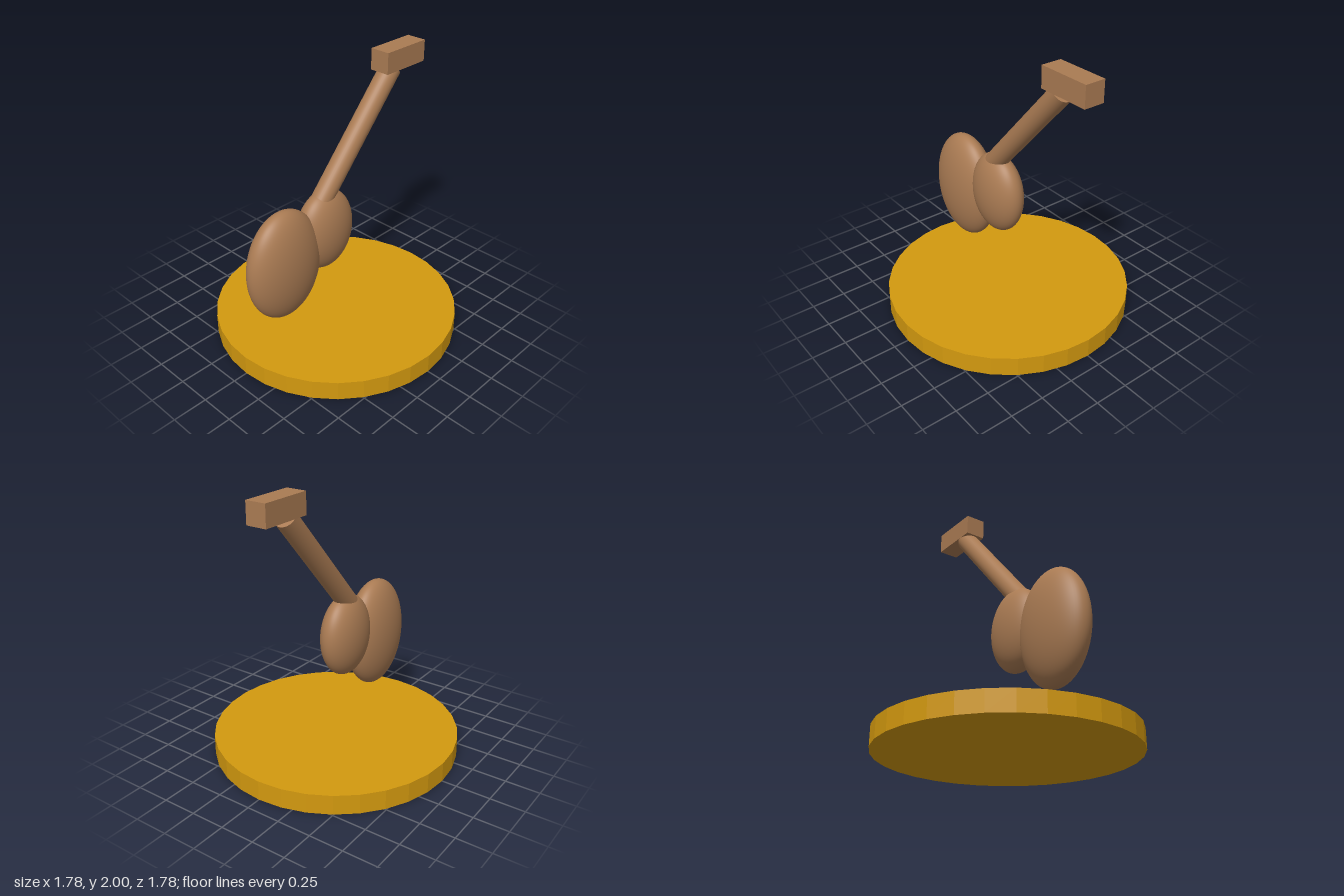
import * as THREE from 'three';

export function createModel() {
  const group = new THREE.Group();
  const wood = new THREE.MeshStandardMaterial({ color: 0xaa7b53 });
  wood.name = 'brown wood';
  const gold = new THREE.MeshStandardMaterial({ color: 0xd3990f });
  gold.name = 'gold';

  function add(name, geometry, material, x, y) {
    const mesh = new THREE.Mesh(geometry, material);
    mesh.name = name;
    mesh.position.set(x, y, 0);
    group.add(mesh);
    return mesh;
  }

  // Faceted round stand
  const disc = new THREE.CylinderGeometry(0.892, 0.892, 0.143, 32).toNonIndexed();
  disc.computeVertexNormals();
  add('base', disc, gold, 0, 0.0715);

  // Flattened ellipsoids forming the two halves of the body
  function bout(name, x, y, rx, ry, rz) {
    add(name, new THREE.SphereGeometry(1, 64, 48).scale(rx, ry, rz), wood, x, y);
  }
  bout('lowerBody', -0.505, 0.726, 0.31, 0.415, 0.155);
  bout('upperBody', -0.117, 0.84, 0.245, 0.305, 0.14);

  // Leaning neck, sunk into the upper body
  const start = new THREE.Vector3(-0.15, 1.07, 0);
  const end = new THREE.Vector3(0.54, 1.848, 0);
  const along = end.clone().sub(start);
  const middle = start.clone().add(end).multiplyScalar(0.5);
  const neck = add('neck', new THREE.CylinderGeometry(0.075, 0.075, along.length(), 32), wood, middle.x, middle.y);
  neck.quaternion.setFromUnitVectors(new THREE.Vector3(0, 1, 0), along.normalize());

  // Block at the end of the neck
  add('headstock', new THREE.BoxGeometry(0.387, 0.153, 0.15), wood, 0.617, 1.9235);

  return group;
}
